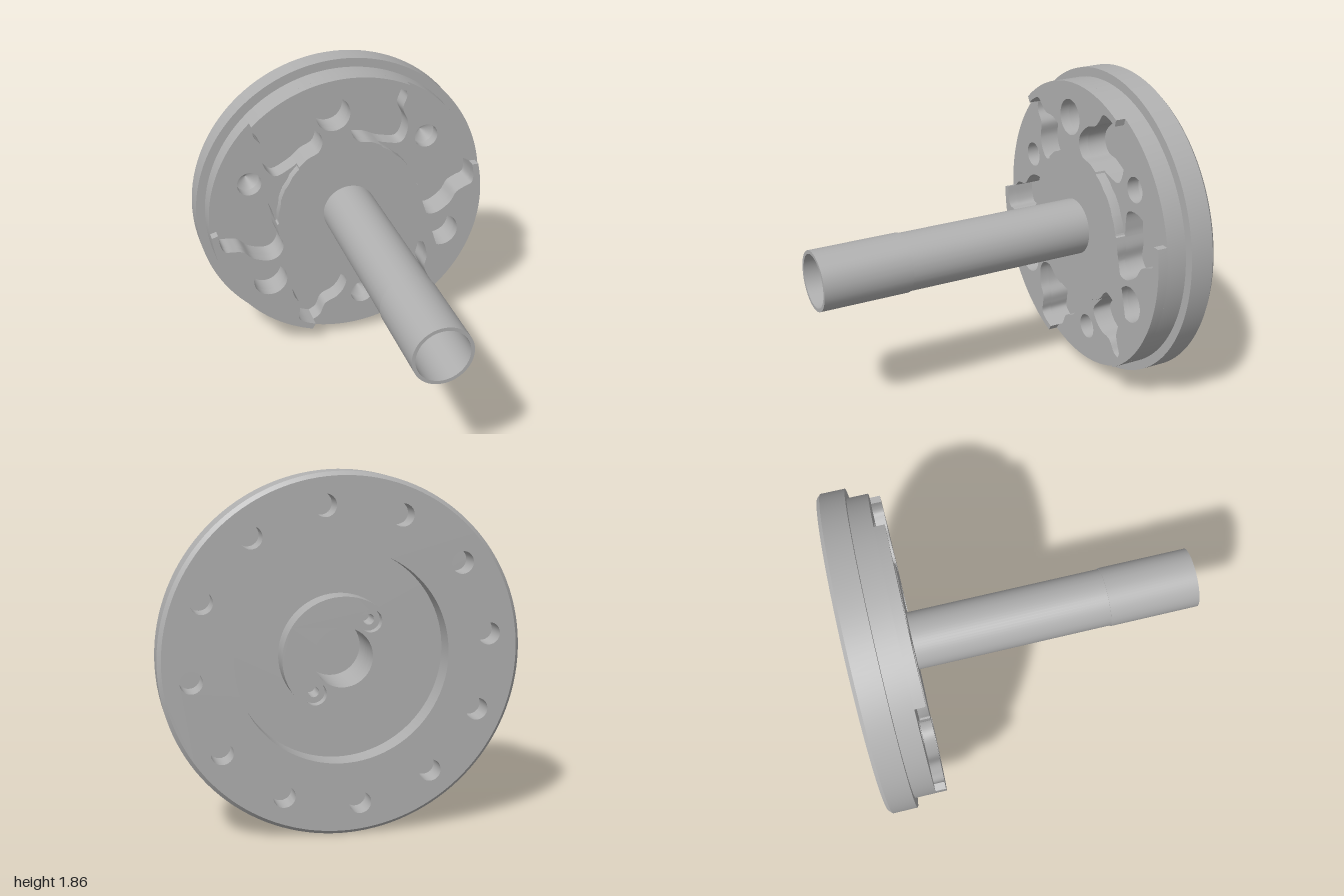
import * as THREE from 'three';
import { toCreasedNormals } from 'three/addons/utils/BufferGeometryUtils.js';

const rad = THREE.MathUtils.degToRad;
const polar = (r, deg) => new THREE.Vector2(r * Math.cos(rad(deg)), r * Math.sin(rad(deg)));
const arc = (r, a, b, n) =>
  Array.from({ length: n + 1 }, (_, i) => polar(r, a + (b - a) * i / n));
const circle = (r, c = new THREE.Vector2(), n = 40) =>
  Array.from({ length: n }, (_, i) => polar(r, 360 * i / n).add(c));
const turn = (pts, deg) => pts.map(p => p.clone().rotateAround(new THREE.Vector2(), rad(deg)));
// mirror across the line through the centre at the given angle
const mirror = (pts, deg) => pts.map(p => polar(p.length(), 2 * deg - THREE.MathUtils.radToDeg(p.angle())));

const AXIS = 338;      // middle of one raised sector
const HALF = 34.5;     // half its opening angle
const TURNS = [0, 120, 240];

// lobed pocket beside the sector edge: raised-side flank, then the low-side flank
const smooth = (list, n) => new THREE.SplineCurve(list.map(p => new THREE.Vector2(...p))).getPoints(n);
const flank = smooth([[.814, .19], [.824, .12], [.814, .065], [.764, .042], [.71, .012], [.665, -.057],
  [.58, -.112], [.51, -.107], [.462, -.05], [.466, .03], [.453, .1]], 50);
const farFlank = smooth([[.453, .1], [.45, .147], [.46, .246], [.526, .273], [.605, .26], [.68, .21],
  [.764, .216], [.814, .19]], 36);
const pocket = [...flank, ...farFlank.slice(1, -1)];

export function createModel() {
  const group = new THREE.Group();
  const steel = new THREE.MeshStandardMaterial({ color: 0xb0b0b0 });
  steel.name = 'machined steel';

  const body = new THREE.Group();
  body.name = 'flangedShaft';
  body.position.y = 0.93;
  group.add(body);

  const add = (name, geometry) => {
    const mesh = new THREE.Mesh(toCreasedNormals(geometry, 0.5), steel);
    mesh.name = name;
    body.add(mesh);
    return mesh;
  };
  // flat slab between two z levels
  const slab = (name, outline, holes, z0, z1) => {
    const shape = new THREE.Shape(outline);
    shape.holes = holes.map(h => new THREE.Path(h));
    const g = new THREE.ExtrudeGeometry(shape, { depth: z1 - z0, bevelEnabled: false });
    return add(name, g.translate(0, 0, z0));
  };
  // turned part, profile given as [radius, z]
  const turned = (name, profile, segments = 96) =>
    add(name, new THREE.LatheGeometry(profile.map(p => new THREE.Vector2(...p)), segments).rotateX(Math.PI / 2));

  const roundPockets = TURNS.map(t => circle(.107, polar(.665, AXIS + t)));
  const drillCentres = TURNS.map(t => polar(.66, AXIS + 60 + t));
  const pockets = TURNS.flatMap(t => [turn(pocket, t), turn(mirror(pocket, AXIS), t)]);
  const pins = [128, 308].map(a => polar(.23, a));

  // raised sectors joined by the thin inner ring
  const raised = [];
  for (const t of TURNS) {
    const edge = THREE.MathUtils.radToDeg(flank[flank.length - 1].angle());
    raised.push(
      ...turn(mirror(flank, AXIS).reverse(), t),
      ...arc(.875, AXIS - HALF + t, AXIS + HALF + t, 28),
      ...turn(flank, t),
      ...arc(.455, edge + 1 + t, 2 * AXIS - 360 - edge + 119 + t, 20)
    );
  }
  slab('raisedSectors', raised, [circle(.42, undefined, 96), ...roundPockets], -.72, -.66);

  // lower front layer with every pocket cut through it
  slab('pocketLayer', circle(.875, undefined, 128),
    [circle(.42, undefined, 96), ...roundPockets, ...pockets, ...drillCentres.map(c => circle(.075, c))],
    -.84, -.72);

  // conical bottoms of the drilled holes
  drillCentres.forEach(c => {
    turned('drillPoint', [[.075, -.795], [.0005, -.838]], 40).position.set(c.x, c.y, 0);
  });

  // ledge at the bottom of the central recess
  slab('recessLedge', circle(.425, undefined, 96), [circle(.385, undefined, 96)], -.84, -.81);

  // web, rear ring with blind bolt holes, and its chamfered outer rim
  slab('web', circle(.91, undefined, 128),
    [circle(.153, undefined, 64), ...pins.map(c => circle(.028, c, 24))], -.88, -.84);
  const boltHoles = Array.from({ length: 12 }, (_, i) => circle(.058, polar(.77, 23 + 30 * i), 32));
  slab('rearRing', circle(.91, undefined, 128), [circle(.55, undefined, 96), ...boltHoles], -1, -.88);
  turned('outerRim', [[.91, -1], [.93, -.98], [.93, -.84], [.87, -.84]], 128);

  // rear boss with two counterbored holes
  const boss = circle(.31, undefined, 80), bore = circle(.153, undefined, 64);
  slab('bossBase', boss, [bore, ...pins.map(c => circle(.028, c, 24))], -.95, -.88);
  slab('bossFace', boss, [bore, ...pins.map(c => circle(.058, c, 32))], -1, -.95);

  // hollow shaft with a slightly thicker end
  turned('shaft', [[.168, -.84], [.168, .475], [.173, .475], [.173, 1], [.153, 1], [.153, -.84]], 64);

  return group;
}
